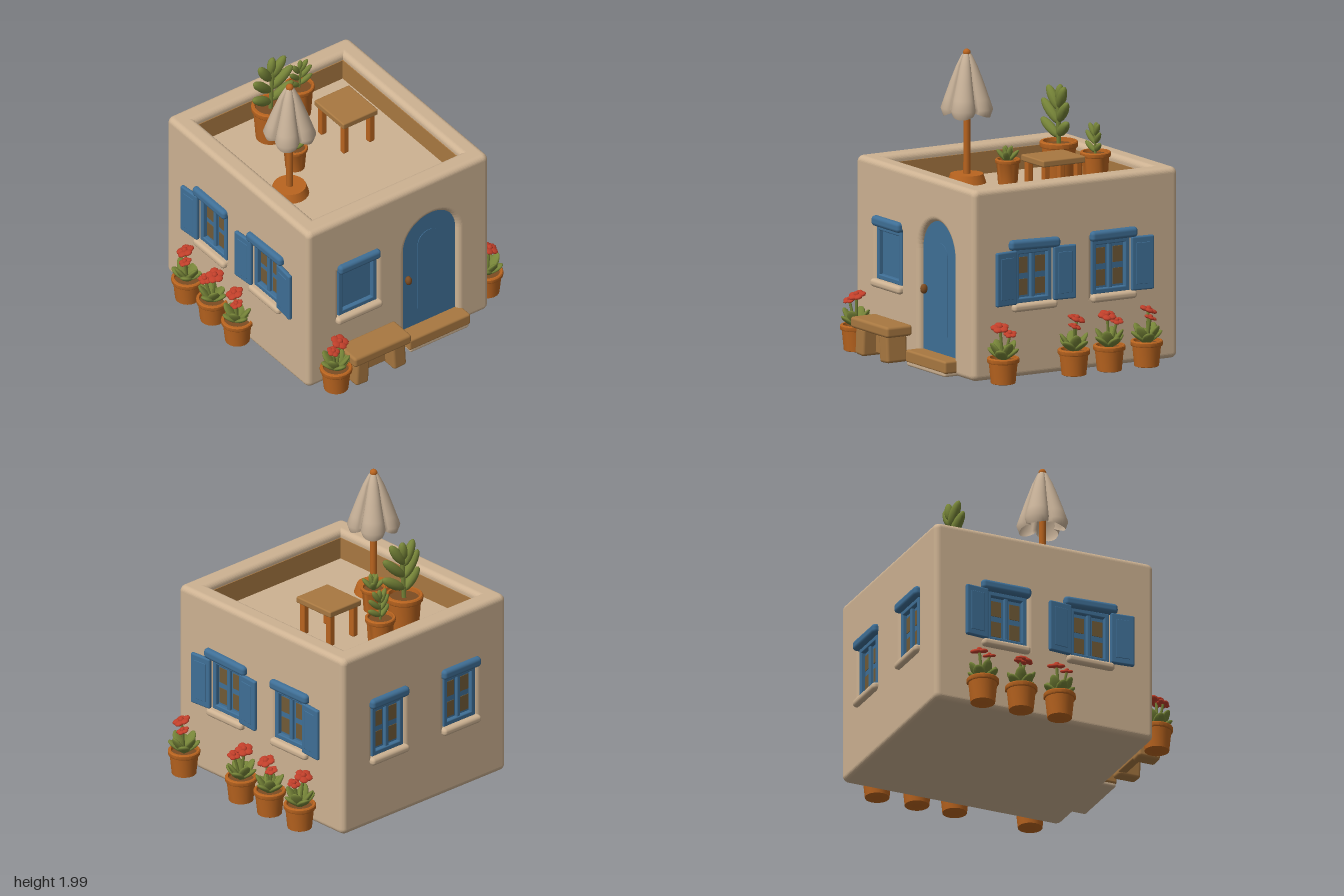
import * as THREE from 'three';
import { toCreasedNormals } from 'three/addons/utils/BufferGeometryUtils.js';
import { RoundedBoxGeometry } from 'three/addons/geometries/RoundedBoxGeometry.js';

const mat = (name, color, side = THREE.FrontSide) => {
  const m = new THREE.MeshStandardMaterial({ color, side });
  m.name = name;
  return m;
};
const plaster = mat('plaster', 0xcdb292);
const blue = mat('bluePaint', 0x3f6f96);
const wood = mat('wood', 0xa87841);
const clay = mat('terracotta', 0xb9641f);
const green = mat('leafGreen', 0x768438);
const red = mat('petalRed', 0xc03f2a);
const dark = mat('paneBrown', 0x705a37);
const earth = mat('soilBrown', 0x7c4c22);
const cloth = mat('canvas', 0xc6b097, THREE.DoubleSide);

function add(parent, name, geo, material, x = 0, y = 0, z = 0) {
  const m = new THREE.Mesh(geo, material);
  m.name = name;
  m.position.set(x, y, z);
  parent.add(m);
  return m;
}
function group(parent, name, x = 0, y = 0, z = 0) {
  const g = new THREE.Group();
  g.name = name;
  g.position.set(x, y, z);
  parent.add(g);
  return g;
}
const block = (p, name, m, w, h, d, x, y, z, r = 0.015) =>
  add(p, name, new RoundedBoxGeometry(w, h, d, 2, Math.min(r, w / 2.1, h / 2.1, d / 2.1)), m, x, y, z);

// ---- walls: one bevelled slab per side, with real openings ----
const X0 = -0.885, X1 = 0.705, Z0 = -0.715, Z1 = 0.765, TOP = 1.3, FLOOR = 1.1, T = 0.14, B = 0.036;

function rectPath(x0, x1, y0, y1) {
  return new THREE.Path([[x0, y0], [x1, y0], [x1, y1], [x0, y1]].map(p => new THREE.Vector2(...p)));
}
function roundedRect(x0, x1, y0, y1, r) {
  const s = new THREE.Shape();
  s.absarc(x1 - r, y0 + r, r, -Math.PI / 2, 0, false);
  s.absarc(x1 - r, y1 - r, r, 0, Math.PI / 2, false);
  s.absarc(x0 + r, y1 - r, r, Math.PI / 2, Math.PI, false);
  s.absarc(x0 + r, y0 + r, r, Math.PI, Math.PI * 1.5, false);
  s.closePath();
  return s;
}
function archShape(P, u, half, y0, ySpring) {
  const s = new P();
  s.moveTo(u - half, y0);
  s.lineTo(u + half, y0);
  s.lineTo(u + half, ySpring);
  s.absarc(u, ySpring, half, 0, Math.PI, false);
  s.lineTo(u - half, y0);
  return s;
}
// Local frame of a wall: x along it, y up, z outward with 0 at the face
function wall(parent, name, u0, u1, x, z, turn, windows, door) {
  const g = group(parent, name, x, 0, z);
  g.rotation.y = turn;
  const shape = roundedRect(u0, u1, 0.015, TOP, B + 0.008);
  for (const w of windows) shape.holes.push(rectPath(w.u - w.w / 2, w.u + w.w / 2, 0.51, 0.87));
  if (door) shape.holes.push(archShape(THREE.Path, door.u, 0.217, 0.1, 0.8));
  const geo = new THREE.ExtrudeGeometry(shape, {
    depth: T - 2 * B, bevelThickness: B, bevelSize: B, bevelOffset: -B, bevelSegments: 7, curveSegments: 12,
  });
  add(g, name + 'Plaster', geo, plaster, 0, 0, B - T);
  // bare inner face of the parapet
  add(g, 'parapetLining', new THREE.BoxGeometry(u1 - u0 - 2 * T, 0.15, 0.008), wood, (u0 + u1) / 2, FLOOR + 0.075, -T - 0.002);
  windows.forEach(w => addWindow(g, w));
  if (door) addDoor(g, door.u);
}

function addWindow(wallGroup, { u, w, lintel = w + 0.06, shift = 0, tilt = 0, shutters = [], solid = false }) {
  const g = group(wallGroup, 'window', u, 0, 0);
  add(g, 'windowBoard', new THREE.BoxGeometry(w + 0.01, 0.37, 0.02), blue, 0, 0.69, -0.045);
  for (const s of [-1, 1]) {
    block(g, 'frameSide', blue, 0.035, 0.37, 0.04, s * (w / 2 - 0.015), 0.69, -0.025, 0.008);
    block(g, 'frameRail', blue, w, 0.035, 0.04, 0, 0.69 + s * 0.165, -0.025, 0.008);
    if (solid) continue;
    for (const t of [-1, 1])
      add(g, 'pane', new THREE.BoxGeometry(0.075, 0.108, 0.006), dark, s * w * 0.235, 0.685 + t * 0.074, -0.034);
  }
  if (!solid) block(g, 'mullion', blue, 0.03, 0.35, 0.035, 0, 0.69, -0.03, 0.008);
  block(g, 'lintel', blue, lintel, 0.07, 0.08, shift, 0.902, -0.004, 0.025).rotation.z = tilt;
  block(g, 'sill', plaster, w + 0.06, 0.055, 0.08, shift, 0.483, -0.004, 0.024);
  // open shutters, hinged beside the opening and swung a little outward
  for (const s of shutters) {
    const hinge = group(g, 'shutter', s * w / 2, 0.69, 0.012);
    hinge.rotation.y = -s * 0.09;
    block(hinge, 'shutterBoard', blue, 0.168, 0.365, 0.03, s * 0.084, 0, 0, 0.012);
    block(hinge, 'shutterPanel', blue, 0.1, 0.28, 0.008, s * 0.084, 0, 0.014, 0.003);
  }
}

function addDoor(wallGroup, u) {
  const g = group(wallGroup, 'door', u, 0, 0);
  const leafOf = (half, y0, spring, depth) =>
    new THREE.ExtrudeGeometry(archShape(THREE.Shape, 0, half, y0, spring), { depth, bevelEnabled: false, curveSegments: 20 });
  add(g, 'doorLeaf', leafOf(0.225, 0.1, 0.8, 0.03), blue, 0, 0, -0.065);
  add(g, 'doorPanel', leafOf(0.09, 0.25, 0.78, 0.005), blue, 0, 0, -0.036);
  const knob = add(g, 'doorKnob', new THREE.SphereGeometry(0.028, 12, 10), earth, -0.178, 0.535, -0.015);
  knob.scale.set(0.8, 1.2, 0.9);
  block(g, 'doorStep', wood, 0.5, 0.085, 0.17, 0.005, 0.083, 0.005, 0.015);
  block(g, 'stepBase', plaster, 0.48, 0.045, 0.164, 0.005, 0.04, 0.005, 0.015);
}

// ---- pots and plants ----
function pot(parent, name, x, y, z, r, h) {
  const g = group(parent, name, x, y, z);
  const rim = h - r * 0.32;
  const pts = [[0, 0], [0.7 * r, 0], [0.76 * r, 0.03 * r], [0.89 * r, rim], [0.97 * r, rim], [r, rim + 0.05 * r],
    [r, h - 0.06 * r], [0.95 * r, h], [0.82 * r, h], [0.78 * r, h - 0.25 * r], [0, h - 0.25 * r]];
  add(g, 'potBody', toCreasedNormals(new THREE.LatheGeometry(pts.map(p => new THREE.Vector2(...p)), 20), 0.6), clay);
  add(g, 'soil', new THREE.CylinderGeometry(0.78 * r, 0.78 * r, 0.008, 16), earth, 0, h - 0.22 * r, 0);
  return g;
}
// Leaf growing from its base; tilt leans it, yaw turns it round the stem
function leaf(parent, y, len, wx, wz, yaw, tilt) {
  const geo = new THREE.SphereGeometry(1, 10, 8).translate(0, 1, 0).scale(wx, len / 2, wz);
  add(parent, 'leaf', geo, green, 0, y, 0).rotation.set(tilt, yaw, 0, 'YXZ');
}
function stem(parent, a, b, r) {
  const curve = new THREE.LineCurve3(new THREE.Vector3(...a), new THREE.Vector3(...b));
  add(parent, 'stem', new THREE.TubeGeometry(curve, 1, r, 6), green);
}
function flower(parent, x, y, z, r, lean) {
  const f = group(parent, 'flower', x, y, z);
  f.rotation.set(0.3, 0, lean);
  for (let i = 0; i < 5; i++) {
    const a = i * Math.PI * 0.4;
    const p = add(f, 'petal', new THREE.SphereGeometry(r * 0.5, 8, 6), red, Math.cos(a) * r * 0.52, 0, Math.sin(a) * r * 0.52);
    p.scale.y = 0.45;
  }
  add(f, 'flowerHeart', new THREE.SphereGeometry(r * 0.35, 8, 6), red, 0, 0.006, 0);
}
function geranium(parent, x, z, turn, i, y = 0.01) {
  const g = pot(parent, 'flowerPot', x, y, z, 0.108, 0.175);
  const p = group(g, 'geranium', 0, 0.13, 0);
  p.rotation.y = turn;
  const s = i % 2 ? -1 : 1;
  for (let k = 0; k < 8; k++)
    leaf(p, k % 2 ? 0.03 : 0.015, k % 2 ? 0.13 : 0.165, 0.042, 0.018, k * 0.785 + i, k % 2 ? 0.95 : 0.6);
  const heads = [[-0.025 * s, 0.245, 0, 0.063], [0.03 * s, 0.205, 0.04, 0.046]];
  for (const [fx, fy, fz, r] of heads) {
    stem(p, [0, 0, 0], [fx, fy, fz], 0.01);
    flower(p, fx, fy, fz, r, s * 0.2);
  }
}
// Upright plant with leaf pairs spread along z
function fanPlant(parent, y, s) {
  const p = group(parent, 'fanPlant', 0, y, 0);
  p.scale.setScalar(s);
  stem(p, [0, -0.05, 0], [0.012, 0.3, -0.01], 0.016);
  const pairs = [[0.02, 0.2, 1.0], [0.11, 0.22, 0.82], [0.2, 0.19, 0.6]];
  for (const [h, len, tilt] of pairs)
    for (const d of [-1, 1]) leaf(p, h + (d < 0 ? 0.015 : 0), len, 0.033, 0.036, d * 0.2, d * tilt);
  leaf(p, 0.25, 0.13, 0.03, 0.032, 0, -0.15);
}

// ---- folded parasol ----
function parasol(parent, x, z) {
  const g = group(parent, 'parasol', x, FLOOR, z);
  add(g, 'parasolBase', new THREE.CylinderGeometry(0.11, 0.13, 0.06, 20), clay, 0, 0.03, 0);
  add(g, 'parasolPole', new THREE.CylinderGeometry(0.022, 0.024, 0.86, 12), clay, 0, 0.43, 0);
  add(g, 'parasolTip', new THREE.SphereGeometry(0.026, 12, 8), clay, 0, 0.874, 0);
  const profile = [[0.15, 0.445], [0.168, 0.5], [0.145, 0.57], [0.108, 0.68], [0.068, 0.79], [0.034, 0.86], [0.012, 0.88]];
  const geo = new THREE.LatheGeometry(profile.map(p => new THREE.Vector2(...p)), 64);
  const pos = geo.attributes.position;
  // four full lobes with narrow folds between them
  for (let i = 0; i < pos.count; i++) {
    const px = pos.getX(i), py = pos.getY(i), pz = pos.getZ(i);
    const a = Math.atan2(pz, px), r = Math.hypot(px, pz);
    const lobe = Math.abs(Math.sin(2 * a));
    const k = THREE.MathUtils.lerp(1, 0.55 + 0.5 * Math.sqrt(lobe), Math.min(1, r / 0.1));
    const hem = py < 0.46 ? 0.035 * (1 - lobe) : 0;
    pos.setXYZ(i, px * k, py + hem, pz * k);
  }
  geo.computeVertexNormals();
  add(g, 'parasolCanopy', geo, cloth);
}

export function createModel() {
  const model = new THREE.Group();
  model.name = 'courtyardHouse';

  // house body and roof terrace
  const house = group(model, 'house');
  const inset = 0.06;
  add(house, 'houseCore', new THREE.BoxGeometry(X1 - X0 - 2 * inset, FLOOR - 0.017, Z1 - Z0 - 2 * inset), plaster,
    (X0 + X1) / 2, (FLOOR + 0.017) / 2, (Z0 + Z1) / 2);
  const facade = s => [
    { u: -0.365 * s, w: 0.29, lintel: 0.36, shift: -0.012 * s, shutters: [-s] },
    { u: 0.238 * s, w: 0.285, lintel: 0.39, tilt: 0.03 * s, shutters: [-1, 1] },
  ];
  wall(house, 'frontWall', X0, X1, 0, Z1, 0, facade(1));
  wall(house, 'backWall', -X1, -X0, 0, Z0, Math.PI, facade(-1));
  wall(house, 'leftWall', -Z1, -Z0, X1, 0, Math.PI / 2, [{ u: -0.355, w: 0.31, lintel: 0.34, solid: true }], { u: 0.245 });
  wall(house, 'rightWall', Z0, Z1, X0, 0, -Math.PI / 2, [{ u: 0.345, w: 0.28 }, { u: -0.305, w: 0.28 }]);

  // bench beside the door
  const bench = group(model, 'bench', 0.8, 0, 0.29);
  block(bench, 'benchSeat', wood, 0.2, 0.075, 0.465, 0, 0.235, 0, 0.02);
  block(bench, 'benchPanel', wood, 0.06, 0.16, 0.26, -0.05, 0.115, 0, 0.01);
  for (const s of [-1, 1])
    block(bench, 'benchLeg', wood, 0.16, 0.19, 0.105, 0, 0.115, s * 0.15, 0.02).rotation.x = -s * 0.06;

  // flower pots around the house
  [-0.57, -0.29, -0.01].forEach((x, i) => geranium(model, x, 0.822, 0.1 * i, i));
  [0.54, -0.01, -0.285, -0.575].forEach((x, i) => geranium(model, x, -0.818, Math.PI + 0.2 * i, i));
  geranium(model, 0.8, 0.605, 1.2, 1, 0.02);

  // terrace table
  const table = group(model, 'table', -0.22, FLOOR, -0.22);
  block(table, 'tableTop', wood, 0.33, 0.045, 0.285, 0, 0.243, 0, 0.01);
  for (const sx of [-1, 1]) for (const sz of [-1, 1])
    block(table, 'tableLeg', clay, 0.045, 0.23, 0.045, sx * 0.125, 0.115, sz * 0.105, 0.01);

  // terrace plants and parasol
  fanPlant(pot(model, 'largePot', -0.515, FLOOR, 0.185, 0.128, 0.265), 0.27, 1);
  fanPlant(pot(model, 'mediumPot', -0.61, FLOOR, -0.12, 0.103, 0.235), 0.22, 0.56);
  const small = pot(model, 'smallPot', -0.155, FLOOR, 0.245, 0.085, 0.17);
  for (let k = 0; k < 8; k++) leaf(small, 0.15, 0.11, 0.022, 0.016, k * 0.785, k % 2 ? 0.75 : 0.3);
  parasol(model, 0.045, 0.435);
  return model;
}
